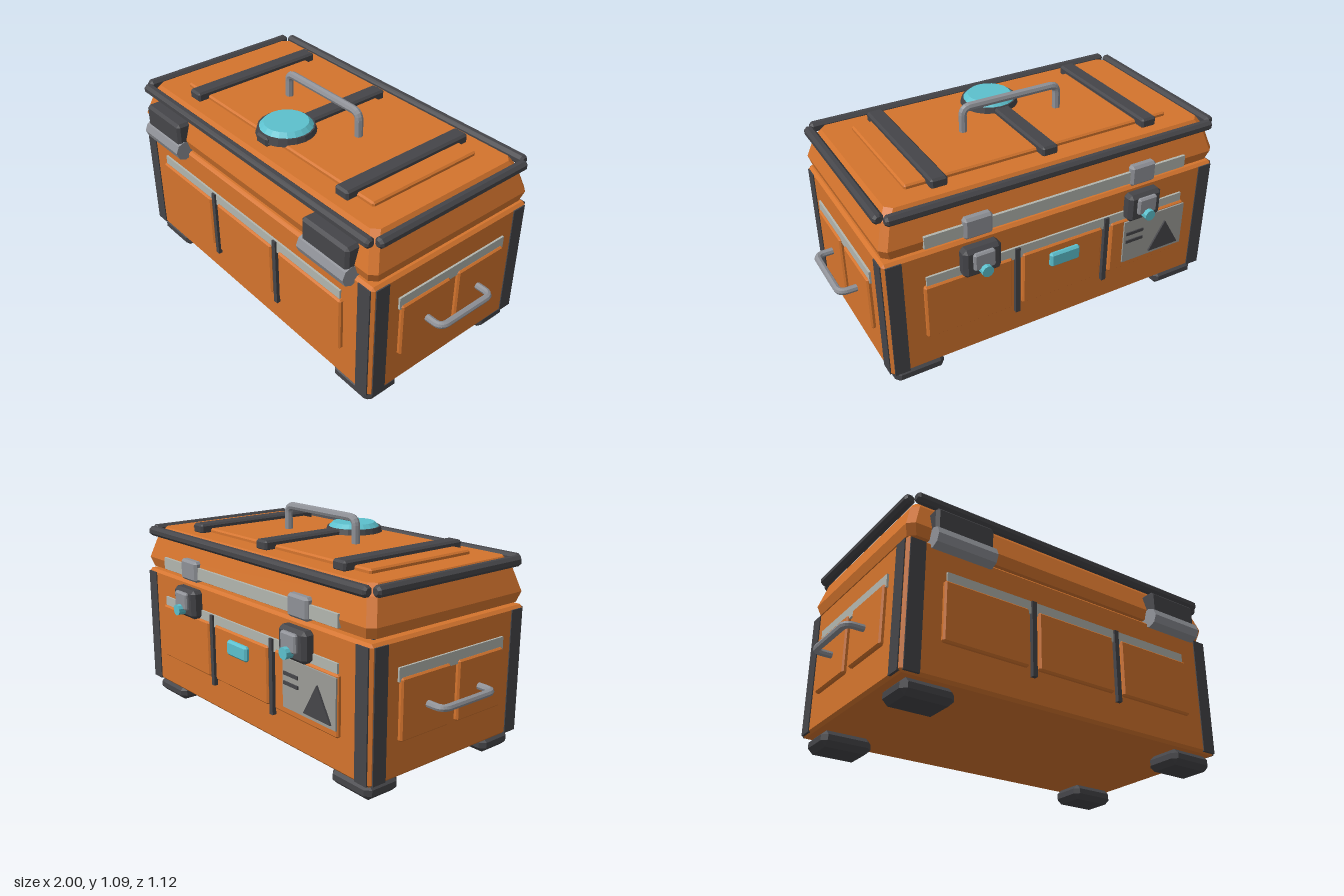
import * as THREE from 'three';
import { ConvexGeometry } from 'three/addons/geometries/ConvexGeometry.js';

const mat = (name, color, flatShading = true) => {
  const m = new THREE.MeshStandardMaterial({ color, flatShading });
  m.name = name;
  return m;
};

export function createModel() {
  const orange = mat('orange paint', 0xd4742d);
  const dark = mat('dark rubber', 0x454549);
  const steel = mat('steel', 0x8f9197);
  const trim = mat('pale trim', 0xb2b5ae);
  const cyan = mat('cyan light', 0x5cc0cd);
  const grey = mat('label grey', 0x9c9c97);

  const root = new THREE.Group();
  root.name = 'storageCrate';
  const crate = new THREE.Group();
  crate.name = 'crate';
  crate.position.z = 0.018;
  root.add(crate);

  const add = (parent, name, geo, material, x = 0, y = 0, z = 0) => {
    const m = new THREE.Mesh(geo, material);
    m.name = name;
    m.position.set(x, y, z);
    parent.add(m);
    return m;
  };

  // Box with every edge chamfered by c
  const chamfer = (w, h, d, c) => {
    const pts = [];
    const a = w / 2, b = h / 2, e = d / 2;
    for (const sx of [-1, 1]) for (const sy of [-1, 1]) for (const sz of [-1, 1]) {
      pts.push(
        new THREE.Vector3(sx * a, sy * (b - c), sz * (e - c)),
        new THREE.Vector3(sx * (a - c), sy * b, sz * (e - c)),
        new THREE.Vector3(sx * (a - c), sy * (b - c), sz * e));
    }
    return new ConvexGeometry(pts);
  };
  const box = (w, h, d) => new THREE.BoxGeometry(w, h, d);

  // Body and seal
  add(crate, 'body', chamfer(1.76, 0.62, 0.954, 0.014), orange, 0, 0.39, 0);
  add(crate, 'seal', box(1.66, 0.06, 0.84), dark, 0, 0.705, 0);

  // Lid: stacked cross-sections [y, half width, half depth] with cut corners
  const lidPts = [];
  for (const [y, a, b] of [[0.715, 0.865, 0.464], [0.765, 0.88, 0.48], [0.88, 0.845, 0.445], [0.925, 0.815, 0.415]]) {
    const k = 0.03;
    for (const sx of [-1, 1]) for (const sz of [-1, 1]) {
      lidPts.push(new THREE.Vector3(sx * a, y, sz * (b - k)), new THREE.Vector3(sx * (a - k), y, sz * b));
    }
  }
  add(crate, 'lid', new ConvexGeometry(lidPts), orange);
  add(crate, 'lidPanel', chamfer(1.38, 0.04, 0.62, 0.008), orange, 0, 0.925, 0);

  // Rails around the top of the lid: octagonal rods with tapered ends
  const rod = (len) => {
    const r = 0.026, e = len / 2;
    return new THREE.LatheGeometry([[0, -e], [r * 0.6, -e], [r, -e + 0.012], [r, e - 0.012], [r * 0.6, e], [0, e]]
      .map(([x, y]) => new THREE.Vector2(x, y)), 8, Math.PI / 8);
  };
  for (const s of [-1, 1]) {
    add(crate, 'lidRailLong', rod(1.69), dark, 0, 0.906, s * 0.463).rotation.z = Math.PI / 2;
    add(crate, 'lidRailShort', rod(0.885), dark, s * 0.86, 0.906, 0).rotation.x = Math.PI / 2;
  }

  // Straps and round light on top
  for (const x of [-0.55, 0, 0.55]) {
    add(crate, 'strap', chamfer(0.082, 0.05, 0.73, 0.01), dark, x, 0.944, 0);
  }
  add(crate, 'lightBase', new THREE.CylinderGeometry(0.135, 0.145, 0.035, 20), dark, 0, 0.954, 0.218);
  add(crate, 'light', new THREE.CylinderGeometry(0.106, 0.129, 0.022, 20), cyan, 0, 0.981, 0.218);

  // U-shaped handle: feet at y = 0, rising by h
  const handle = (half, h, r) => {
    const path = new THREE.CurvePath();
    const V = (x, y) => new THREE.Vector3(x, y, 0);
    const k = 0.04;
    path.add(new THREE.LineCurve3(V(-half, 0), V(-half, h - k)));
    path.add(new THREE.QuadraticBezierCurve3(V(-half, h - k), V(-half, h), V(-half + k, h)));
    path.add(new THREE.LineCurve3(V(-half + k, h), V(half - k, h)));
    path.add(new THREE.QuadraticBezierCurve3(V(half - k, h), V(half, h), V(half, h - k)));
    path.add(new THREE.LineCurve3(V(half, h - k), V(half, 0)));
    return new THREE.TubeGeometry(path, 60, r, 8);
  };
  add(crate, 'topHandle', handle(0.255, 0.135, 0.02), steel, 0, 0.93, 0);
  for (const s of [-1, 1]) {
    const h = add(crate, 'sideHandle', handle(0.162, 0.123, 0.017), steel, s * 0.86, 0.384, 0);
    h.rotation.set(Math.PI / 2, 0, -s * Math.PI / 2, 'ZYX');
    h.rotation.set(0, Math.PI / 2, 0);
    h.quaternion.premultiply(new THREE.Quaternion().setFromAxisAngle(new THREE.Vector3(0, 0, 1), -s * Math.PI / 2));
  }

  // Feet and corner guards
  for (const sx of [-1, 1]) for (const sz of [-1, 1]) {
    add(crate, 'foot', chamfer(0.248, 0.078, 0.19, 0.025), dark, sx * 0.733, 0.039, sz * 0.365);
    add(crate, 'cornerGuard', box(0.073, 0.6, 0.02), dark, sx * 0.831, 0.387, sz * 0.472);
    add(crate, 'cornerGuard', box(0.02, 0.6, 0.073), dark, sx * 0.875, 0.387, sz * 0.423);
  }

  // Wall dressing: raised panels, pale strip and dividers, outward along +z
  const wall = (name, angle, dist, panelXs, panelW, stripW, dividerXs) => {
    const g = new THREE.Group();
    g.name = name;
    g.rotation.y = angle;
    crate.add(g);
    for (const x of panelXs) add(g, 'panel', chamfer(panelW, 0.283, 0.04, 0.008), orange, x, 0.39, dist);
    add(g, 'trimStrip', box(stripW, 0.062, 0.02), trim, 0, 0.546, dist);
    for (const x of dividerXs) add(g, 'divider', box(0.024, 0.365, 0.04), dark, x, 0.393, dist);
    return g;
  };
  const longWall = [0.477, [-0.487, 0, 0.487], 0.433, 1.38, [-0.243, 0.243]];
  wall('frontWall', 0, ...longWall);
  const back = wall('backWall', Math.PI, ...longWall);
  for (const s of [-1, 1]) wall('sideWall', s * Math.PI / 2, 0.88, [-0.172, 0.172], 0.292, 0.655, []);

  // Hinges on the front
  for (const s of [-1, 1]) {
    add(crate, 'hingePlate', chamfer(0.295, 0.125, 0.1, 0.014), dark, s * 0.623, 0.796, 0.47);
    add(crate, 'hingeBarrel', new THREE.CylinderGeometry(0.05, 0.05, 0.3, 8), steel, s * 0.621, 0.714, 0.493)
      .rotation.z = Math.PI / 2;
  }

  // Latches on the back
  add(back, 'lidStrip', box(1.38, 0.06, 0.03), trim, 0, 0.757, 0.472);
  for (const x of [-0.437, 0.437]) {
    add(back, 'latchHook', chamfer(0.14, 0.105, 0.06, 0.012), steel, x, 0.763, 0.47);
    add(back, 'latchBase', chamfer(0.186, 0.146, 0.07, 0.018), dark, x, 0.604, 0.5);
    add(back, 'latchPlate', chamfer(0.105, 0.088, 0.03, 0.008), steel, x, 0.617, 0.537);
    add(back, 'latchButton', new THREE.CylinderGeometry(0.028, 0.028, 0.045, 10), cyan, x, 0.573, 0.552)
      .rotation.x = Math.PI / 2;
  }

  // Indicator light and warning plate on the back
  add(back, 'indicator', chamfer(0.16, 0.075, 0.03, 0.01), cyan, 0, 0.457, 0.506);
  add(back, 'warningPlate', box(0.36, 0.235, 0.008), grey, 0.523, 0.403, 0.501);
  const tri = new THREE.Shape([[-0.09, 0.305], [0.09, 0.305], [0, 0.457]].map(([x, y]) => new THREE.Vector2(x, y)));
  add(back, 'warningTriangle', new THREE.ExtrudeGeometry(tri, { depth: 0.009, bevelEnabled: false }), dark, 0.587, 0, 0.505);
  for (const y of [0.405, 0.45]) add(back, 'warningBar', box(0.1, 0.016, 0.008), dark, 0.405, y, 0.507);

  return root;
}
